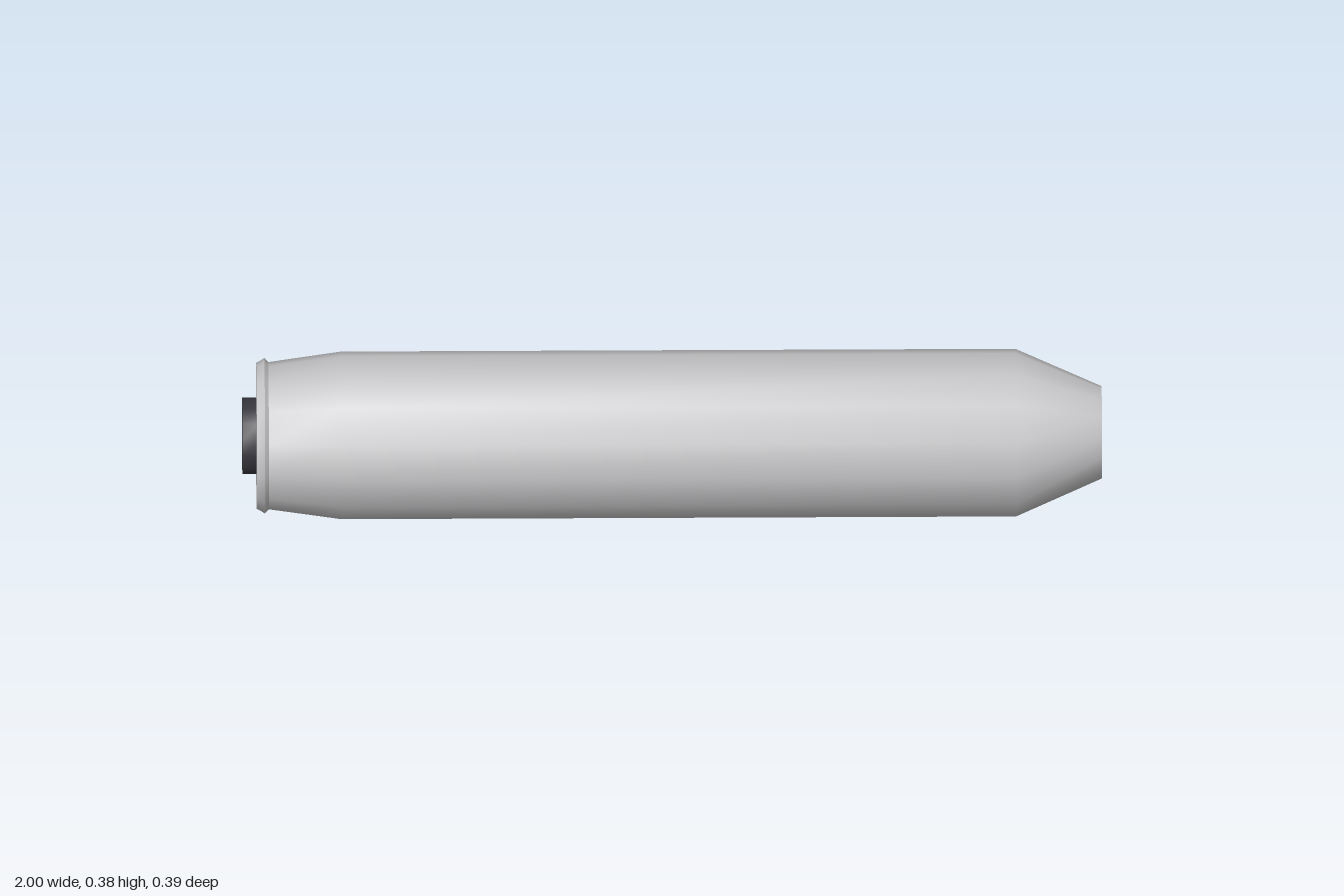
import * as THREE from 'three';
import { toCreasedNormals } from 'three/addons/utils/BufferGeometryUtils.js';

const SIDES = 14;
const AXIS_Y = 0.191;

// Turns a list of [x, radius] pairs around the long x axis.
function turned(name, profile, material) {
  const points = profile.map(([x, r]) => new THREE.Vector2(r, x));
  const geometry = new THREE.LatheGeometry(points, SIDES);
  geometry.rotateZ(-Math.PI / 2);
  const mesh = new THREE.Mesh(toCreasedNormals(geometry, 0.75), material);
  mesh.name = name;
  mesh.position.y = AXIS_Y;
  return mesh;
}

export function createModel() {
  const paleMetal = new THREE.MeshStandardMaterial({ color: 0xc4c4c6 });
  paleMetal.name = 'paleMetal';
  const darkPlastic = new THREE.MeshStandardMaterial({ color: 0x37373e });
  darkPlastic.name = 'darkPlastic';

  const group = new THREE.Group();
  group.name = 'capsuleTube';

  // Long barrel with a slight rear taper and a blunt cone nose
  group.add(turned('barrel', [
    [-0.94, 0], [-0.94, 0.172], [-0.77, 0.196], [0.8, 0.196], [1, 0.108], [1, 0],
  ], paleMetal));

  // Flared rim closing the rear end
  group.add(turned('rearRim', [
    [-0.967, 0], [-0.967, 0.171], [-0.957, 0.176], [-0.948, 0.182], [-0.937, 0.17], [-0.937, 0],
  ], paleMetal));

  // Short dark button on the rear face
  group.add(turned('rearButton', [
    [-1, 0], [-1, 0.089], [-0.96, 0.089], [-0.96, 0],
  ], darkPlastic));

  return group;
}
